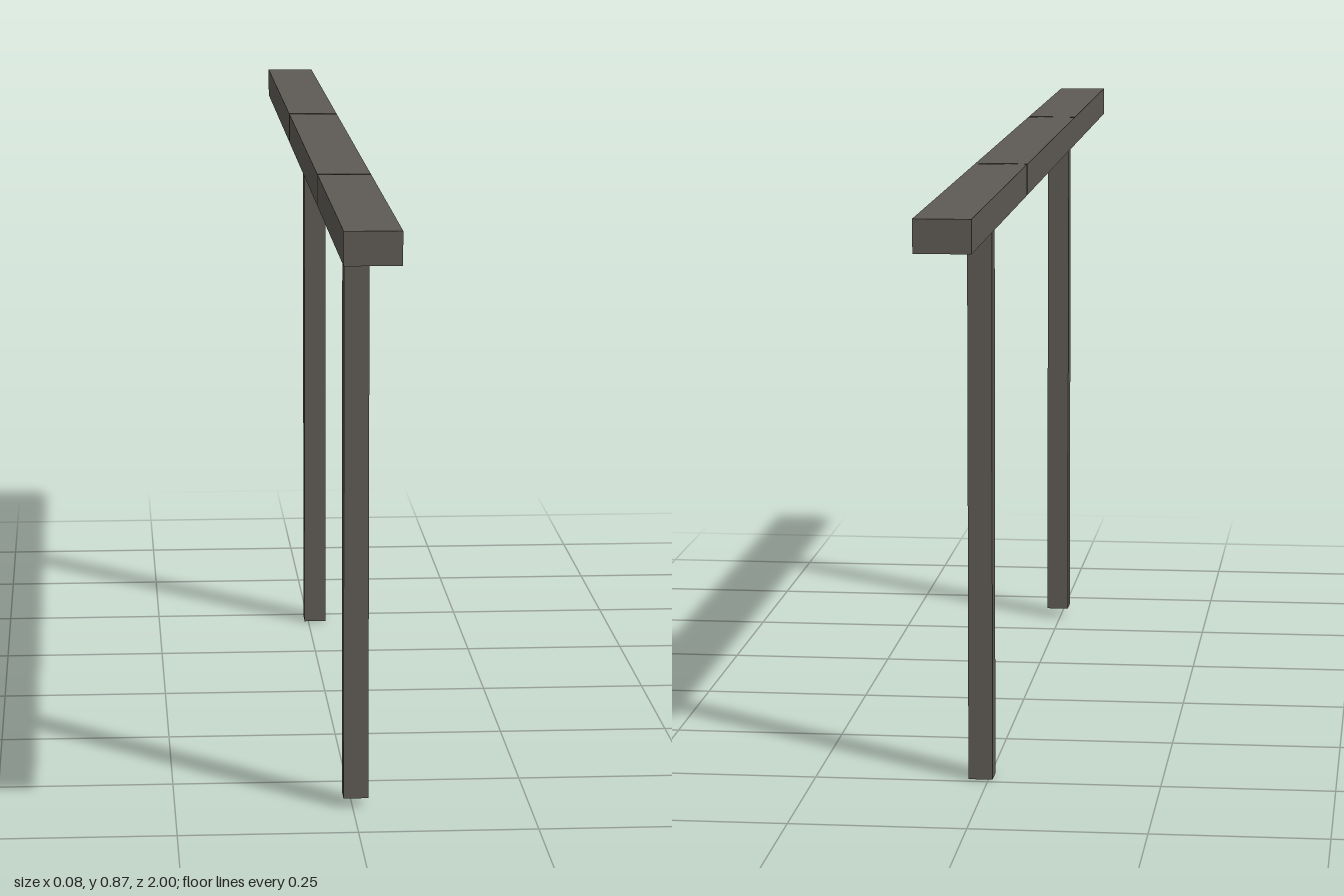
import * as THREE from 'three';

export function createModel() {
  const model = new THREE.Group();
  const paint = new THREE.MeshStandardMaterial({ color: 0x5e5a54 });
  paint.name = 'darkWarmGrey';

  // Box spanning the given ranges on each axis
  const addBox = (name, [x0, x1], [y0, y1], [z0, z1]) => {
    const mesh = new THREE.Mesh(new THREE.BoxGeometry(x1 - x0, y1 - y0, z1 - z0), paint);
    mesh.name = name;
    mesh.position.set((x0 + x1) / 2, (y0 + y1) / 2, (z0 + z1) / 2);
    model.add(mesh);
  };

  // Top rail: three lengths separated by narrow joints
  const railX = [-0.038, 0.038];
  const railY = [0.828, 0.873];
  addBox('frontRail', railX, railY, [0.443, 1]);
  addBox('middleRail', railX, railY, [-0.308, 0.437]);
  addBox('backRail', railX, railY, [-1, -0.314]);

  // Posts: slightly out of line, the front one a little shorter
  addBox('frontPost', [-0.013, 0.022], [0.014, 0.828], [0.597, 0.634]);
  addBox('backPost', [-0.006, 0.029], [0, 0.827], [-0.488, -0.451]);

  return model;
}
